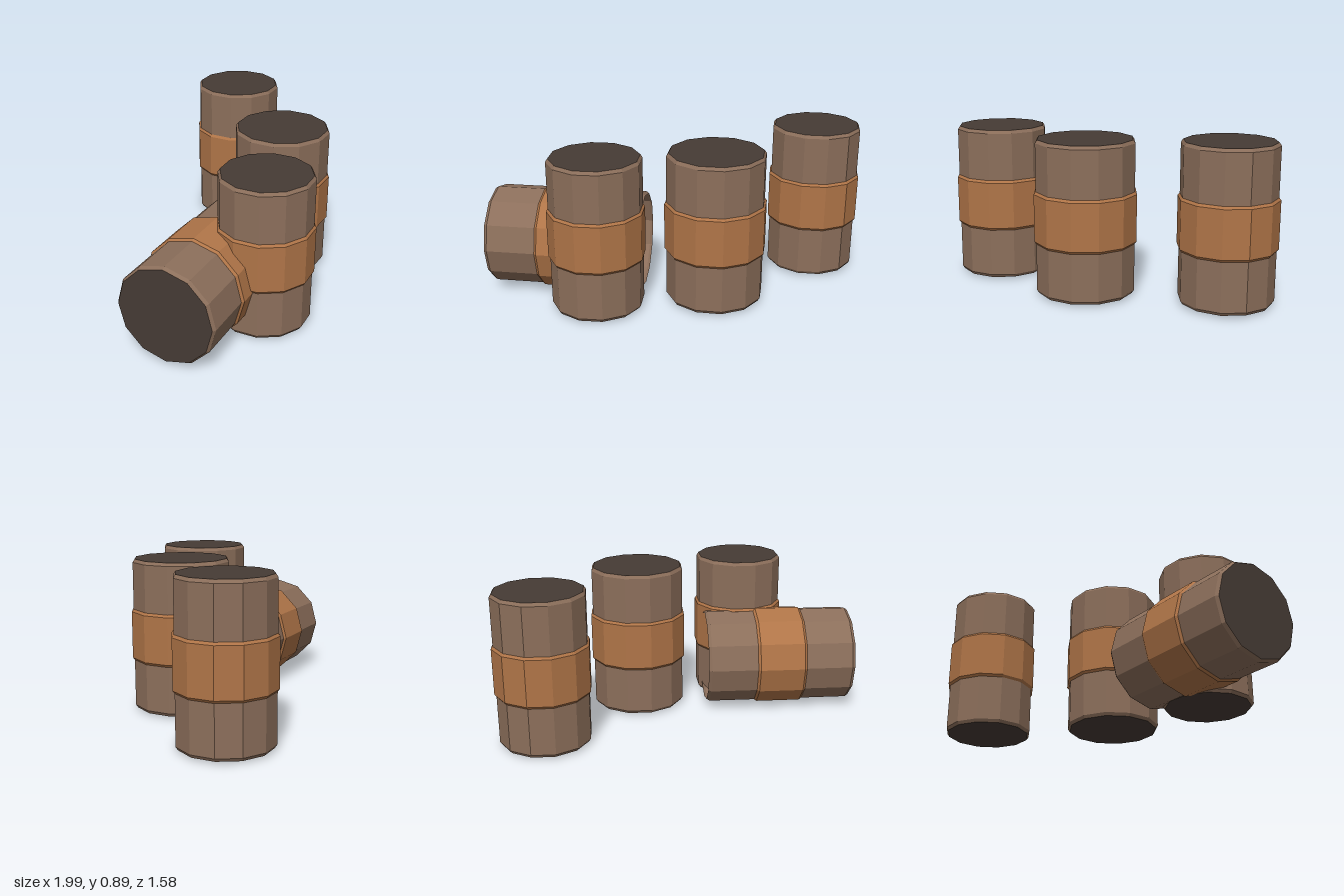
import * as THREE from 'three';

const SIDES = 12;

export function createModel() {
  const paint = (name, color) => {
    const m = new THREE.MeshStandardMaterial({ color, flatShading: true, side: THREE.DoubleSide });
    m.name = name;
    return m;
  };
  const brown = paint('brown metal', 0x8c6f5b);
  const rust = paint('rust orange', 0xb07548);
  const dark = paint('dark lid', 0x463b35);

  const part = (name, geometry, material) => {
    const mesh = new THREE.Mesh(geometry, material);
    mesh.name = name;
    return mesh;
  };
  const lathe = (pts) => new THREE.LatheGeometry(pts.map(([r, y]) => new THREE.Vector2(r, y)), SIDES);

  // Barrel centred on its own origin, axis along y
  function barrel(name, r, h, openTop) {
    const g = new THREE.Group();
    g.name = name;
    const t = h / 2, b = 0.018, rim = r - 0.012;
    // wall with chamfered rims
    g.add(part('wall', lathe([[rim, -t], [r, -t + b], [r, t - b], [rim, t]]), brown));
    // raised middle band with chamfered edges
    const w = 0.147, o = r + 0.011;
    g.add(part('band', lathe([[r, -w], [o, -w + 0.014], [o, w - 0.014], [r, w]]), rust));
    // end discs
    g.add(part('bottomLid', lathe([[0, -t], [rim, -t]]), dark));
    if (!openTop) g.add(part('topLid', lathe([[rim, t], [0, t]]), dark));
    return g;
  }

  const model = new THREE.Group();
  model.name = 'barrels';

  // Standing barrels: name, radius, height, x, z, turn
  for (const [name, r, h, x, z, turn] of [
    ['frontBarrel', 0.261, 0.87, -0.232, 0.517, 0.03],
    ['middleBarrel', 0.279, 0.862, 0.337, 0.162, -0.02],
    ['backBarrel', 0.262, 0.878, 0.72, -0.52, 0],
  ]) {
    const b = barrel(name, r, h, false);
    b.position.set(x, 0.02 + h / 2, z);
    b.rotation.y = turn;
    model.add(b);
  }

  // Lying barrel, open at its inner end
  const lying = barrel('lyingBarrel', 0.286, 0.885, true);
  lying.rotation.z = -Math.PI / 2;
  const pivot = new THREE.Group();
  pivot.name = 'lyingBarrelPivot';
  pivot.add(lying);
  pivot.position.set(-0.5, 0.305, 0.33);
  pivot.rotation.y = 0.26;
  model.add(pivot);

  return model;
}
